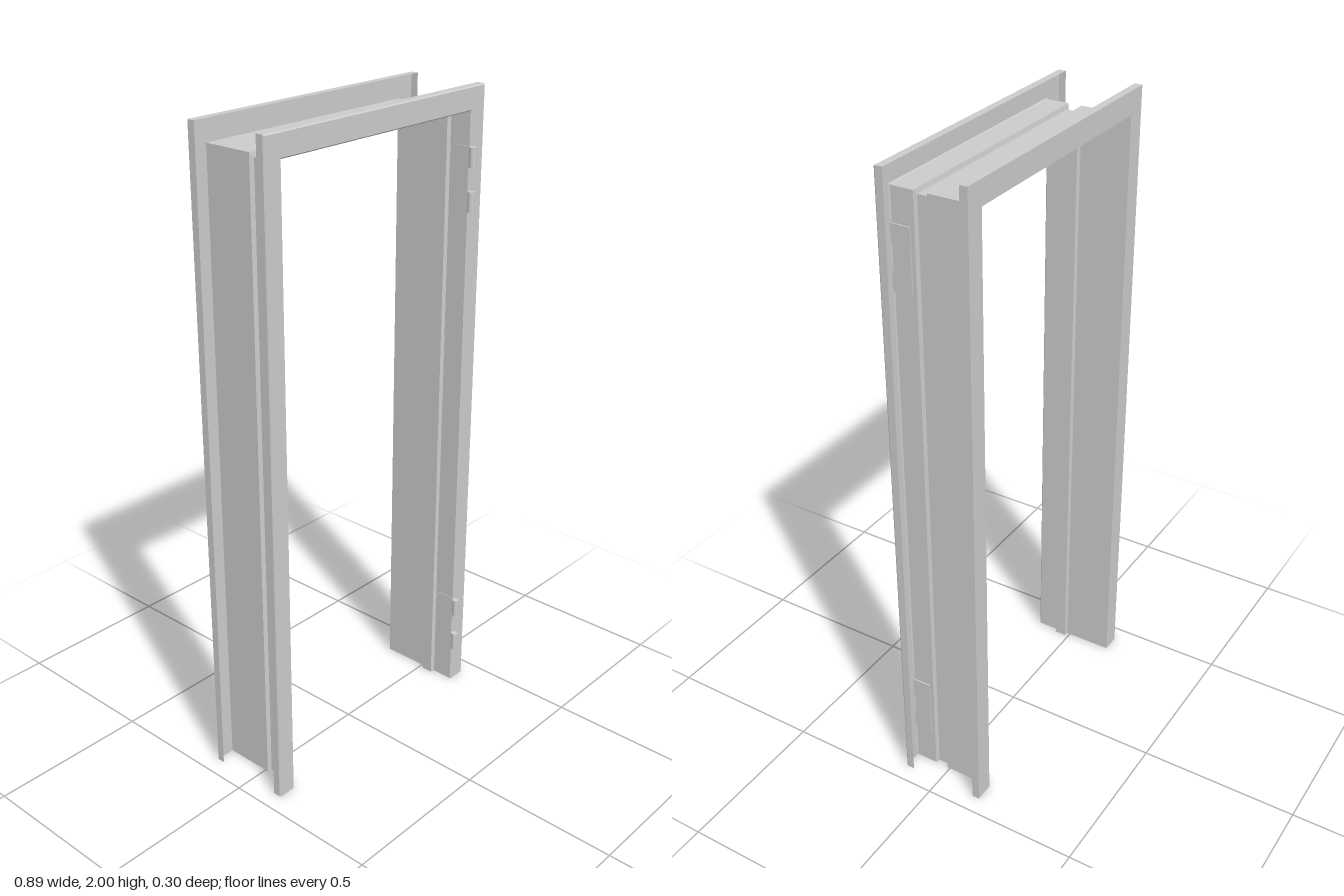
import * as THREE from 'three';

const HALF = 0.385;  // half width of the door opening
const HEAD = 1.93;   // underside of the head
const sheet = new THREE.MeshStandardMaterial({ color: 0xcccccc, side: THREE.DoubleSide });
const solid = new THREE.MeshStandardMaterial({ color: 0xcccccc });

// Folded sheet section: [offset outward from the opening, z], front lip to back lip
const section = [
  [0.06, 0.097], [0.06, 0.12], [0.057, 0.124], [0.003, 0.124], [0, 0.121],
  [0, 0.052], [-0.014, 0.049], [-0.014, 0.013], [0, 0.01],
  [0, -0.148], [0.06, -0.148], [0.06, -0.124],
];

// Section swept up one jamb, across the mitred head and down the other jamb
function sweptFrame() {
  const stations = section.map(([d, z]) => {
    const x = HALF + d, y = HEAD + d * (d > 0 ? 0.07 / 0.06 : 1);
    return [[-x, 0, z], [-x, y, z], [x, y, z], [x, 0, z]];
  });
  const pos = [];
  for (let i = 0; i < stations.length - 1; i++) {
    for (let j = 0; j < 3; j++) {
      const a = stations[i][j], b = stations[i + 1][j];
      const c = stations[i + 1][j + 1], d = stations[i][j + 1];
      pos.push(...a, ...d, ...b, ...b, ...d, ...c);
    }
  }
  const g = new THREE.BufferGeometry();
  g.setAttribute('position', new THREE.Float32BufferAttribute(pos, 3));
  g.computeVertexNormals();
  return g;
}

function addMesh(parent, name, geometry, material, x, y, z) {
  const m = new THREE.Mesh(geometry, material);
  m.name = name;
  m.position.set(x, y, z);
  parent.add(m);
}

// Hinge half fixed to the jamb: leaf plus two knuckles, gap left for the door's knuckle
function hinge(y) {
  const h = new THREE.Group();
  h.name = 'hinge';
  h.position.y = y;
  addMesh(h, 'hingeLeaf', new THREE.BoxGeometry(0.006, 0.19, 0.056), solid, 0.386, 0, 0.092);
  for (const s of [-1, 1]) {
    addMesh(h, 'hingeKnuckle', new THREE.CylinderGeometry(0.011, 0.011, 0.06, 16), solid, 0.382, s * 0.065, 0.136);
    addMesh(h, 'knuckleStrap', new THREE.BoxGeometry(0.006, 0.06, 0.02), solid, 0.386, s * 0.065, 0.126);
  }
  return h;
}

export function createModel() {
  const model = new THREE.Group();
  model.name = 'doorFrame';
  addMesh(model, 'frameSheet', sweptFrame(), sheet, 0, 0, 0);
  for (const y of [0.225, 1.735]) model.add(hinge(y));
  return model;
}
